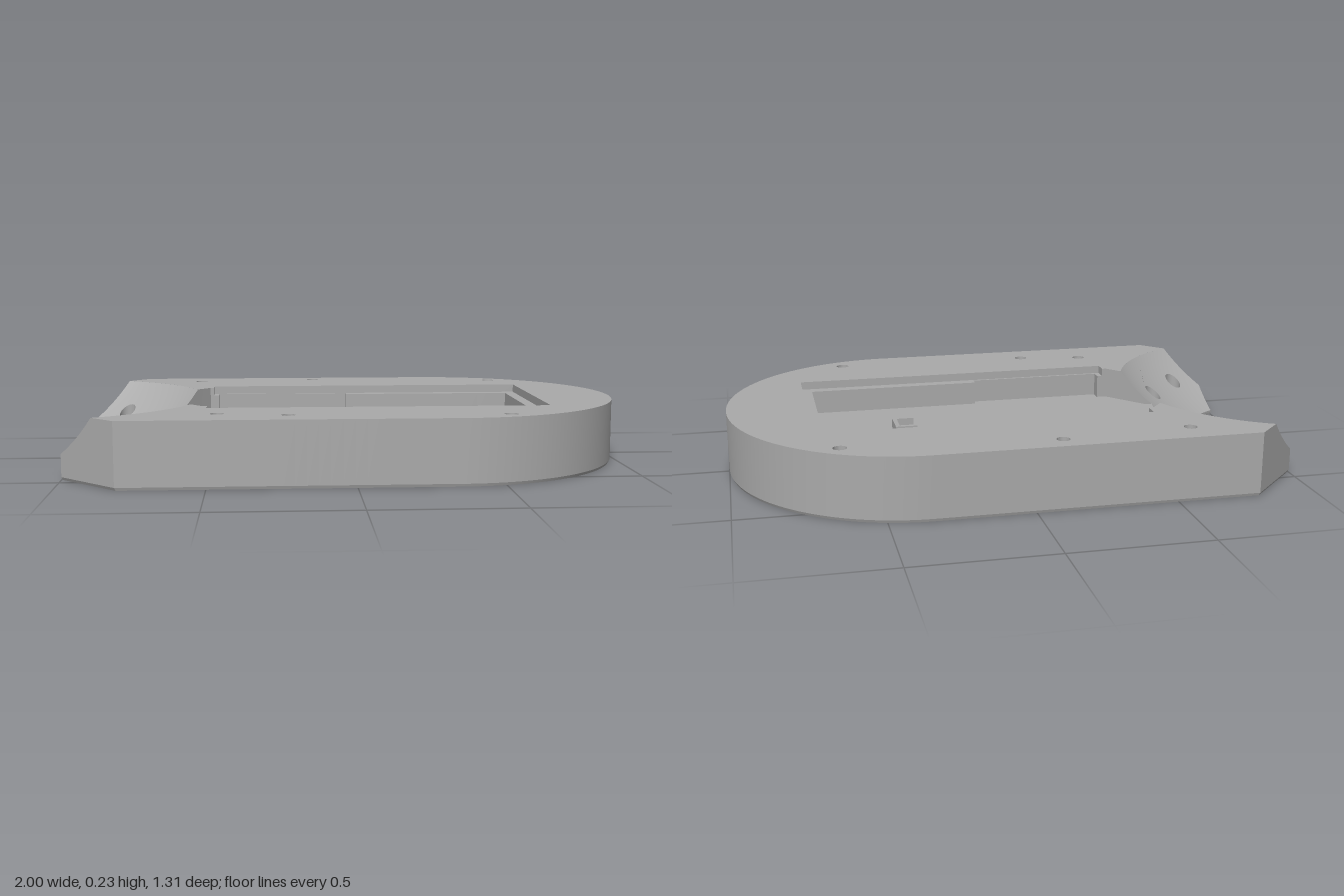
import * as THREE from 'three';
import { toCreasedNormals } from 'three/addons/utils/BufferGeometryUtils.js';

const V = (x, z) => new THREE.Vector2(x, z); // plan points are (x, z)
const HEIGHT = 0.23, FLOOR = 0.112, LEDGE = 0.2, CHAMFER = 0.01;
const CX = -1.17, BALL_Y = 0.81, BALL_R2 = 0.75; // ball that scoops out the left end
const scoop = (x, z) => BALL_Y - Math.sqrt(Math.max(0, BALL_R2 - (x - CX) ** 2 - z * z));
const topY = (x, z) => Math.min(HEIGHT, scoop(x, z));

// Points of an arc about (cx, 0)
function arc(cx, r, a0, a1, n) {
  const pts = [];
  for (let i = 0; i <= n; i++) {
    const a = a0 + (a1 - a0) * i / n;
    pts.push(V(cx + r * Math.cos(a), r * Math.sin(a)));
  }
  return pts;
}
const circle = (x, z, r, n = 24) => arc(x, r, 0, Math.PI * 2, n).slice(0, n).map(p => V(p.x, p.y + z));
const flip = pts => pts.map(p => V(p.x, -p.y)).reverse();
const mirrored = half => [...half, ...flip(half)];

function geometryFrom(pos) {
  const g = new THREE.BufferGeometry();
  g.setAttribute('position', new THREE.Float32BufferAttribute(pos, 3));
  return g;
}

// Horizontal (or height-ruled) face over a plan contour with holes
function cap(contour, holes, height, up = true, levels = 0) {
  const all = [contour, ...holes].flat();
  const pos = [];
  const emit = (a, b, c, level) => {
    if (level > 0) {
      const [ab, bc, ca] = [[a, b], [b, c], [c, a]].map(([p, q]) => V((p.x + q.x) / 2, (p.y + q.y) / 2));
      [[a, ab, ca], [ab, b, bc], [ca, bc, c], [ab, bc, ca]].forEach(t => emit(...t, level - 1));
      return;
    }
    const positive = (b.x - a.x) * (c.y - a.y) - (b.y - a.y) * (c.x - a.x) > 0;
    for (const p of positive === up ? [a, c, b] : [a, b, c]) pos.push(p.x, height(p.x, p.y), p.y);
  };
  for (const f of THREE.ShapeUtils.triangulateShape(contour, holes)) emit(all[f[0]], all[f[1]], all[f[2]], levels);
  const g = geometryFrom(pos);
  g.computeVertexNormals();
  return g;
}

// Upright wall along a plan loop; baseScale draws the lower edge in
function wall(loop, y0, y1, { outward = false, closed = true, baseScale = 1 } = {}) {
  const pos = [];
  const reverse = (THREE.ShapeUtils.area(loop) > 0) === outward;
  const count = closed ? loop.length : loop.length - 1;
  for (let i = 0; i < count; i++) {
    const a = loop[i], b = loop[(i + 1) % loop.length];
    const steps = Math.max(1, Math.ceil(a.distanceTo(b) / 0.04));
    for (let k = 0; k < steps; k++) {
      const p = a.clone().lerp(b, k / steps), q = a.clone().lerp(b, (k + 1) / steps);
      const low = v => [v.x * baseScale, y0, v.y * baseScale];
      const high = v => [v.x, y1(v.x, v.y), v.y];
      const [s, e] = reverse ? [q, p] : [p, q];
      pos.push(...low(s), ...low(e), ...high(e), ...low(s), ...high(e), ...high(s));
    }
  }
  return toCreasedNormals(geometryFrom(pos), 0.5);
}

export function createModel() {
  const model = new THREE.Group();
  model.name = 'scoopedBase';
  const grey = new THREE.MeshStandardMaterial({ color: 0xaaaaaa });
  grey.name = 'plainGrey';
  const add = (name, geometry, parent = model) => {
    const m = new THREE.Mesh(geometry, grey);
    m.name = name;
    parent.add(m);
    return m;
  };
  const at = y => () => y;

  // Plan angles where the scoop meets the end face, the corner cut and the pocket
  const A_END = 1.0637, A_CUT = 1.0995, A_POCKET = 0.3758, A_FLOOR = 0.2868;
  const R_IN = 0.35, R_OUT = 0.643, R_FLOOR = 0.5126;
  const cut = V(-0.878, 0.573), corner = V(-0.797, 0.655);
  const roundEnd = arc(0.345, 0.655, -Math.PI / 2, Math.PI / 2, 64);
  const notch = arc(CX, R_IN, A_END, -A_END, 40);

  // Outer shell
  const outline = [...notch, V(-1, -0.45), V(cut.x, -cut.y), V(corner.x, -corner.y),
    ...roundEnd, corner, cut, V(-1, 0.45)];
  add('outerWall', wall(outline, CHAMFER, topY, { outward: true }));
  add('bottomChamfer', wall(outline, 0, at(CHAMFER), { outward: true, baseScale: 0.995 }));

  // Screw holes: x, z, bore radius, counterbore radius, counterbore depth
  const topHoles = [[-0.574, -0.54], [-0.106, -0.58], [0.637, -0.515], [-0.467, 0.497], [-0.226, 0.54], [0.525, 0.56]]
    .map(([x, z]) => [x, z, 0.024, 0.046, 0.1]);
  const scoopHoles = [[-0.873, 0.431], [-0.729, 0.278]]
    .flatMap(([x, z]) => [[x, z, 0.032, 0.064, 0.062], [x, -z, 0.032, 0.064, 0.062]]);
  const bores = list => list.map(([x, z, r]) => circle(x, z, r));
  const screwHoles = new THREE.Group();
  screwHoles.name = 'screwHoles';
  model.add(screwHoles);
  for (const [x, z, r, R, depth] of [...topHoles, ...scoopHoles]) {
    const bore = circle(x, z, r), wide = circle(x, z, R);
    add('bore', wall(bore, depth, topY), screwHoles);
    add('counterbore', wall(wide, 0, at(depth)), screwHoles);
    add('counterboreSeat', cap(wide, [bore], at(depth), false), screwHoles);
  }
  add('underside', cap(outline.map(p => V(p.x * 0.995, p.y * 0.995)),
    [...topHoles, ...scoopHoles].map(([x, z, , R]) => circle(x, z, R)), at(0), false));

  // Top face, open on the left to the scoop and the pocket
  const rim = [V(-0.51, 0.29), V(-0.51, 0.34), V(0.71, 0.34)];
  const pocketRim = mirrored(rim); // runs from +z round to -z
  const topLoop = [V(corner.x, -corner.y), ...roundEnd, corner,
    ...arc(CX, R_OUT, A_CUT, A_POCKET, 24), V(-0.525, 0.29),
    ...pocketRim, V(-0.525, -0.29), ...arc(CX, R_OUT, -A_POCKET, -A_CUT, 24)];
  add('topFace', cap(topLoop, bores(topHoles), at(HEIGHT)));

  // Ball-shaped scoop
  const scoopLoop = [...notch, V(-1, -0.45), ...arc(CX, R_OUT, -A_CUT, -A_POCKET, 24),
    V(-0.65, -0.145), ...arc(CX, R_FLOOR, -A_FLOOR, A_FLOOR, 20), V(-0.65, 0.145),
    ...arc(CX, R_OUT, A_POCKET, A_CUT, 24), V(-1, 0.45)];
  const bowl = cap(scoopLoop, bores(scoopHoles), scoop, true, 4);
  const p = bowl.attributes.position, n = new THREE.Vector3();
  for (let i = 0; i < p.count; i++) {
    n.set(CX - p.getX(i), BALL_Y - p.getY(i), -p.getZ(i)).normalize();
    bowl.attributes.normal.setXYZ(i, n.x, n.y, n.z);
  }
  add('scoop', bowl);

  // Pocket with a lid ledge
  const inner = [V(-0.49, 0.29), V(-0.49, 0.33), V(0.02, 0.33), V(0.02, 0.3), V(0.67, 0.3)];
  const neck = [V(-0.65, 0.145), V(-0.572, 0.236), V(-0.525, 0.29), V(-0.5101, 0.29), V(-0.5099, 0.29)];
  const floorLoop = [...arc(CX, R_FLOOR, -A_FLOOR, A_FLOOR, 20), ...mirrored([...neck, ...inner])];
  add('pocketFloor', cap(floorLoop, [], at(FLOOR)));
  add('pocketWall', wall(floorLoop, FLOOR, (x, z) => x < -0.51 ? Math.max(FLOOR, topY(x, z)) : LEDGE));
  add('lidLedge', cap([...pocketRim, ...mirrored(inner).reverse()], [], at(LEDGE)));
  add('lidLedgeWall', wall(pocketRim, LEDGE, at(HEIGHT), { closed: false }));

  // Small U-shaped bracket on the pocket floor
  const bracket = new THREE.Group();
  bracket.name = 'bracket';
  model.add(bracket);
  const h = 0.035;
  add('bracketBack', new THREE.BoxGeometry(0.016, h, 0.116), bracket).position.set(0.382, FLOOR + h / 2, 0);
  for (const s of [-1, 1])
    add('bracketArm', new THREE.BoxGeometry(0.064, h, 0.016), bracket).position.set(0.342, FLOOR + h / 2, s * 0.05);

  return model;
}
